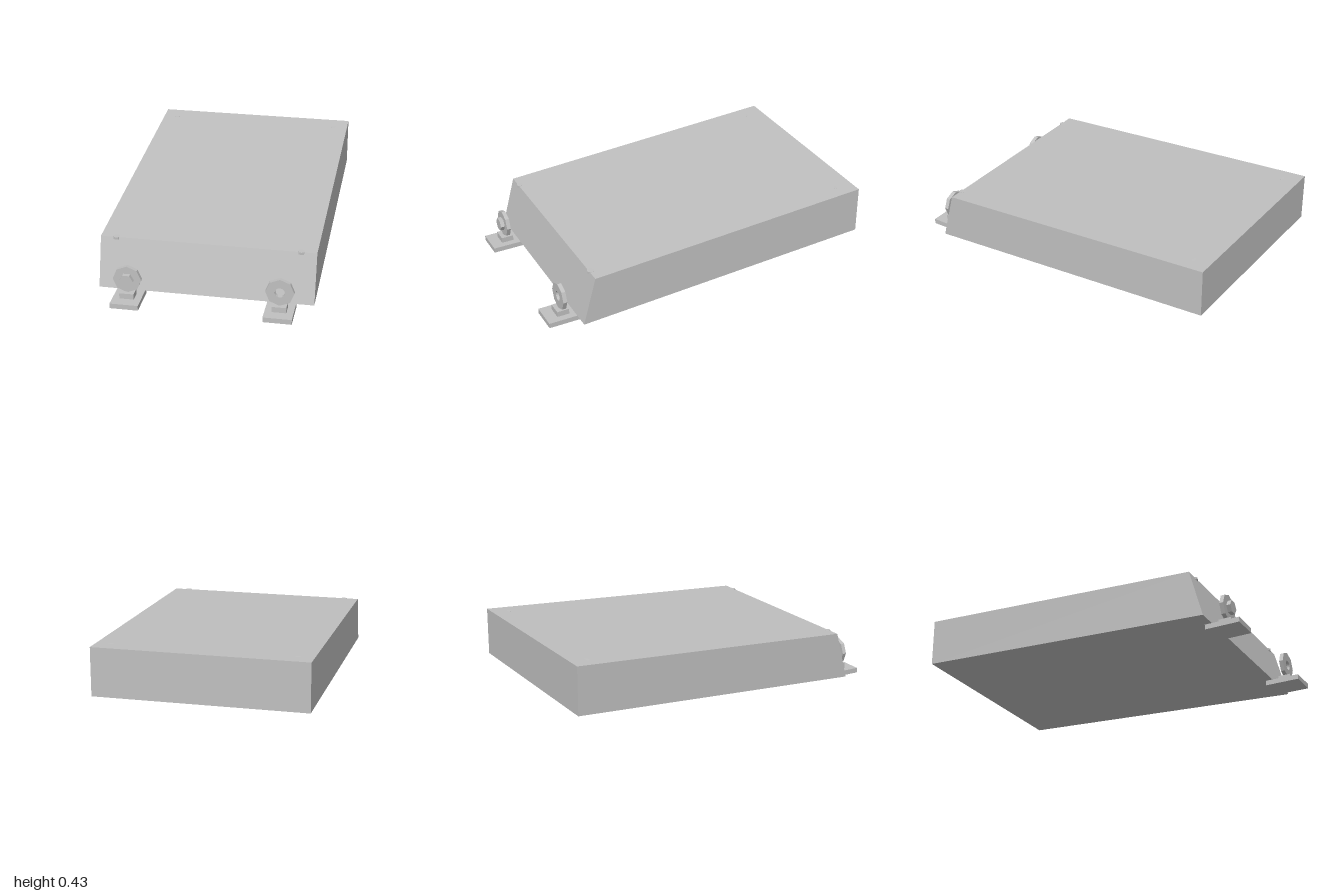
import * as THREE from 'three';

export function createModel() {
  const model = new THREE.Group();
  const grey = new THREE.MeshStandardMaterial({ color: 0xc0c0c0, flatShading: true });
  grey.name = 'light grey';

  const add = (parent, name, geometry, x = 0, y = 0, z = 0) => {
    const mesh = new THREE.Mesh(geometry, grey);
    mesh.name = name;
    mesh.position.set(x, y, z);
    parent.add(mesh);
    return mesh;
  };

  const polygon = (sides, radius, turn = 0) => Array.from({ length: sides }, (_, i) => {
    const a = turn + (i / sides) * Math.PI * 2;
    return new THREE.Vector2(Math.cos(a) * radius, Math.sin(a) * radius);
  });

  // Wedge-like body: side profile in (z, y), extruded across x
  const profile = new THREE.Shape([[0.83, 0.036], [0.752, 0.325], [-1, 0.43], [-1, 0.142]]
    .map(([z, y]) => new THREE.Vector2(-z, y)));
  const bodyGeometry = new THREE.ExtrudeGeometry(profile, { depth: 1.244, bevelEnabled: false });
  bodyGeometry.translate(0, 0, -0.622).rotateY(Math.PI / 2);
  add(model, 'body', bodyGeometry);

  // Eye ring plates on feet, in front of the body
  const eyeZ = 0.896;
  for (const side of [-1, 1]) {
    const mount = new THREE.Group();
    mount.name = side < 0 ? 'rightMount' : 'leftMount';
    mount.position.set(side * 0.436, 0, eyeZ);
    model.add(mount);
    add(mount, 'foot', new THREE.BoxGeometry(0.164, 0.03, 0.208), 0, 0.015, 0);
    add(mount, 'neck', new THREE.BoxGeometry(0.083, 0.035, 0.074), 0, 0.0455, 0);

    const plate = new THREE.Shape(polygon(8, 0.082));
    if (side > 0) plate.holes.push(new THREE.Path(polygon(16, 0.029)));
    add(mount, 'eyePlate',
      new THREE.ExtrudeGeometry(plate, { depth: 0.024, bevelEnabled: false }), 0, 0.142, -0.012);

    // Hexagonal bolt head on one side only
    if (side < 0) {
      add(mount, 'hexBolt', new THREE.ExtrudeGeometry(new THREE.Shape(polygon(6, 0.041)),
        { depth: 0.026, bevelEnabled: false }), 0, 0.142, 0.011);
    }

    // Small studs sunk into the four corners of the top
    add(model, 'frontStud', new THREE.CylinderGeometry(0.021, 0.021, 0.014, 8), side * 0.532, 0.32, 0.742);
    add(model, 'rearStud', new THREE.CylinderGeometry(0.019, 0.019, 0.014, 8), side * 0.532, 0.417, -0.9);
  }

  return model;
}
